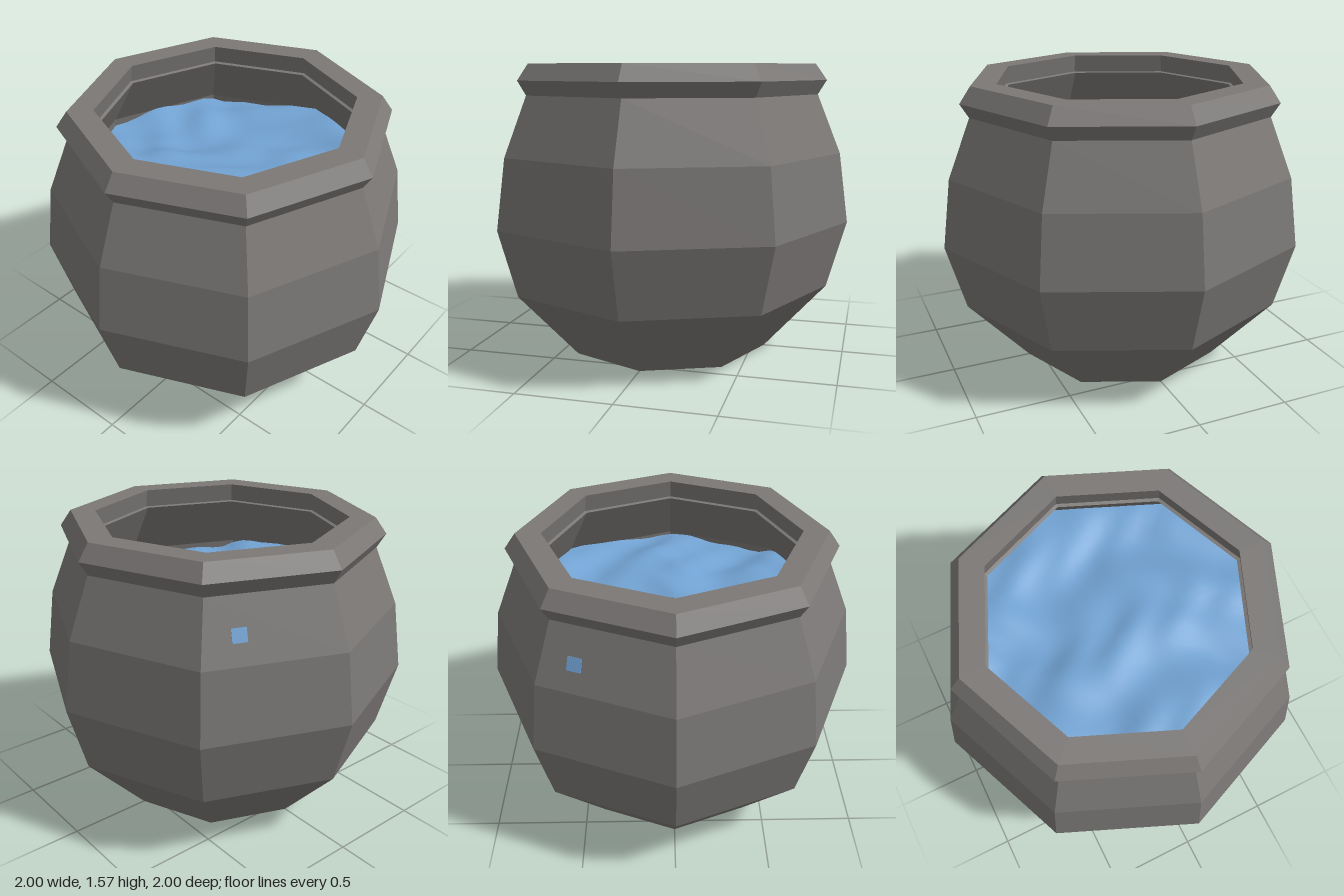
import * as THREE from 'three';
import { mergeVertices } from 'three/addons/utils/BufferGeometryUtils.js';

const SIDES = 8;

// Faceted eight-sided solid turned from a list of [radius, height]
function turned(profile, name, material) {
  const points = profile.map(([r, y]) => new THREE.Vector2(r, y));
  const geometry = new THREE.LatheGeometry(points, SIDES).toNonIndexed();
  geometry.computeVertexNormals();
  const mesh = new THREE.Mesh(geometry, material);
  mesh.name = name;
  return mesh;
}

// Gentle waves, stretched along x
function wave(x, z) {
  return 0.022 * Math.sin(3.1 * x + 1.2 * Math.sin(4 * z) + 0.6)
    + 0.016 * Math.sin(9 * z + 2.2 * Math.sin(3 * x + 1) + 0.4)
    + 0.009 * Math.sin(17 * z - 5 * x + 2 * Math.sin(6 * x))
    + 0.006 * Math.sin(19 * x + 9 * z + 1.5 * Math.sin(11 * z));
}

// Rippled octagonal surface
function waterSurface(radius, level) {
  let geometry = new THREE.RingGeometry(0.002, radius, 80, 26);
  geometry.rotateX(-Math.PI / 2);
  geometry.deleteAttribute('uv');
  geometry.deleteAttribute('normal');
  const p = geometry.attributes.position;
  const step = (Math.PI * 2) / SIDES;
  for (let i = 0; i < p.count; i++) {
    const angle = Math.atan2(p.getZ(i), p.getX(i)) + Math.PI * 2;
    const fit = Math.cos(step / 2) / Math.cos((angle % step) - step / 2);
    const x = p.getX(i) * fit, z = p.getZ(i) * fit;
    p.setXYZ(i, x, level + wave(x, z), z);
  }
  geometry = mergeVertices(geometry, 1e-5);
  geometry.computeVertexNormals();
  return geometry;
}

export function createModel() {
  const stone = new THREE.MeshStandardMaterial({ color: 0x7b7876 });
  stone.name = 'warm grey stone';
  const blue = new THREE.MeshStandardMaterial({ color: 0x72a3d3 });
  blue.name = 'water blue';

  const pot = new THREE.Group();
  pot.name = 'waterPot';

  // Outer body, from the flat base to the neck
  pot.add(turned([
    [0, 0], [0.565, 0], [0.9, 0.37], [1, 0.73], [0.95, 1.1], [0.825, 1.41],
  ], 'body', stone));

  // Angular collar with a flat top and a small inner ledge
  pot.add(turned([
    [0.825, 1.41], [0.87, 1.485], [0.81, 1.57], [0.675, 1.57], [0.695, 1.47], [0.677, 1.465],
  ], 'rim', stone));

  // Inside walls and floor
  pot.add(turned([
    [0.677, 1.465], [0.85, 1.17], [0.92, 0.73], [0.82, 0.41], [0.5, 0.06], [0, 0.06],
  ], 'innerWall', stone));

  // Water
  const water = new THREE.Mesh(waterSurface(0.855, 1.16), blue);
  water.name = 'water';
  pot.add(water);

  // Small wet spot on the back left of the shoulder
  const spot = new THREE.Mesh(new THREE.BoxGeometry(0.075, 0.07, 0.008), blue);
  spot.name = 'wetSpot';
  spot.position.set(-0.7, 1.235, -0.47);
  spot.lookAt(-0.7 - 0.924, 1.235 + 0.372, -0.47 - 0.383);
  pot.add(spot);

  return pot;
}
